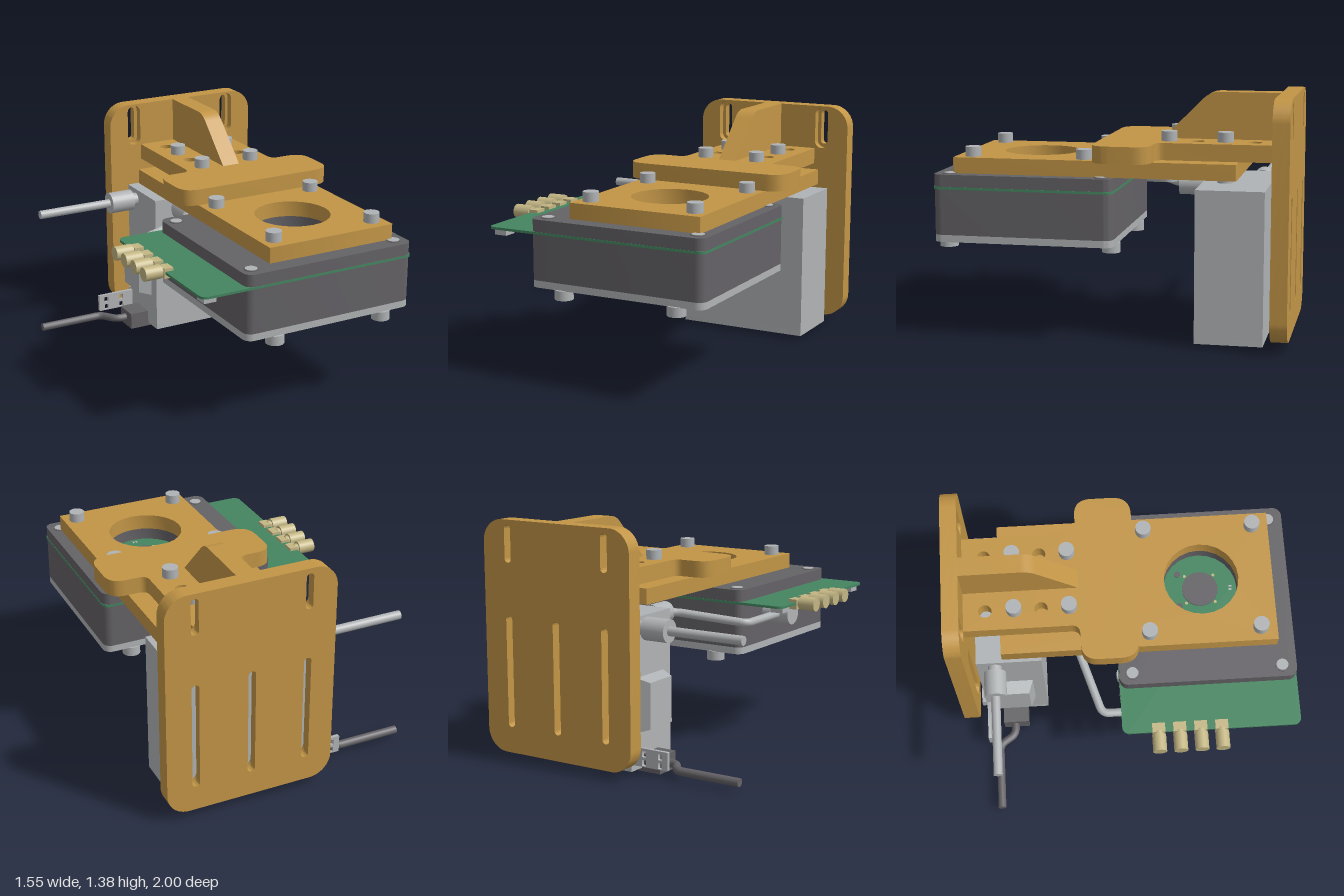
import * as THREE from 'three';
import { toCreasedNormals } from 'three/addons/utils/BufferGeometryUtils.js';

const mat = (name, color, extra = {}) => new THREE.MeshStandardMaterial({ name, color, ...extra });

export function createModel() {
  const model = new THREE.Group();
  const orange = mat('ochre bracket', 0xc29546);
  const dark = mat('dark grey housing', 0x646266);
  const silver = mat('silver metal', 0xb0b3b5, { side: THREE.DoubleSide });
  const green = mat('circuit green', 0x448560);
  const brass = mat('brass', 0xc3b684);

  // ---- helpers ----
  const add = (name, geo, material, x = 0, y = 0, z = 0) => {
    const m = new THREE.Mesh(geo, material);
    m.name = name;
    m.position.set(x, y, z);
    model.add(m);
    return m;
  };
  // box from min/max ranges
  const box = (name, material, x0, x1, y0, y1, z0, z1) =>
    add(name, new THREE.BoxGeometry(x1 - x0, y1 - y0, z1 - z0), material,
      (x0 + x1) / 2, (y0 + y1) / 2, (z0 + z1) / 2);
  // cylinder along the named axis, starting at x, y, z
  const cyl = (name, material, r, len, axis, x, y, z) => {
    const g = new THREE.CylinderGeometry(r, r, len, 24).translate(0, len / 2, 0);
    if (axis === 'x') g.rotateZ(-Math.PI / 2);
    if (axis === 'z') g.rotateX(Math.PI / 2);
    return add(name, g, material, x, y, z);
  };
  // rounded rectangle outline
  const rounded = (x0, x1, y0, y1, r, S = THREE.Shape) => {
    const s = new S();
    const q = Math.PI / 2;
    s.moveTo(x0 + r, y0);
    s.lineTo(x1 - r, y0);
    s.absarc(x1 - r, y0 + r, r, -q, 0);
    s.lineTo(x1, y1 - r);
    s.absarc(x1 - r, y1 - r, r, 0, q);
    s.lineTo(x0 + r, y1);
    s.absarc(x0 + r, y1 - r, r, q, 2 * q);
    s.lineTo(x0, y0 + r);
    s.absarc(x0 + r, y0 + r, r, 2 * q, 3 * q);
    return s;
  };
  const hole = (x, z, r) => {
    const p = new THREE.Path();
    p.absarc(x, -z, r, 0, Math.PI * 2);
    return p;
  };
  const extrude = (shape, depth) => toCreasedNormals(
    new THREE.ExtrudeGeometry(shape, { depth, bevelEnabled: false, curveSegments: 12 }), 0.5);
  // horizontal slab: outline drawn in x and -z, lifted from y0 to y1
  const slab = (name, material, shape, y0, y1) =>
    add(name, extrude(shape, y1 - y0).rotateX(-Math.PI / 2), material, 0, y0, 0);
  const tube = (name, material, pts, r) => {
    const path = new THREE.CurvePath();
    const v = pts.map(p => new THREE.Vector3(...p));
    let from = v[0];
    for (let i = 1; i < v.length; i++) {
      if (i === v.length - 1) { path.add(new THREE.LineCurve3(from, v[i])); break; }
      const a = v[i].clone().lerp(v[i - 1], 0.04 / v[i].distanceTo(v[i - 1]));
      const b = v[i].clone().lerp(v[i + 1], 0.04 / v[i].distanceTo(v[i + 1]));
      path.add(new THREE.LineCurve3(from, a));
      path.add(new THREE.QuadraticBezierCurve3(a, v[i], b));
      from = b;
    }
    add(name, new THREE.TubeGeometry(path, 80, r, 14), material);
  };

  // ---- wall plate: narrow slots at the back, wider recess in front ----
  const slots = [[-0.055, 1.14, 1.35], [0.605, 1.14, 1.35],
    [-0.055, 0.2, 0.84], [0.275, 0.2, 0.84], [0.605, 0.2, 0.84]];
  [[-1, 0.022, 0], [-0.953, 0.043, 0.021]].forEach(([z, hw, grow]) => {
    const s = rounded(-0.22, 0.775, 0.05, 1.38, 0.13);
    slots.forEach(([x, y0, y1]) =>
      s.holes.push(rounded(x - hw, x + hw, y0 - grow, y1 + grow, hw - 0.001, THREE.Path)));
    add('wallPlate', extrude(s, 0.0475), orange, 0, 0, z);
  });

  // ---- T-shaped arm ----
  const arm = new THREE.Shape();
  arm.moveTo(-0.01, 0.91);
  arm.lineTo(-0.01, 0.295);
  arm.quadraticCurveTo(-0.01, 0.245, -0.06, 0.245);
  arm.lineTo(-0.12, 0.245);
  arm.quadraticCurveTo(-0.22, 0.245, -0.22, 0.145);
  arm.lineTo(-0.22, 0.025);
  arm.quadraticCurveTo(-0.22, -0.085, -0.11, -0.085);
  arm.lineTo(0.665, -0.085);
  arm.quadraticCurveTo(0.775, -0.085, 0.775, 0.025);
  arm.lineTo(0.775, 0.145);
  arm.quadraticCurveTo(0.775, 0.245, 0.675, 0.245);
  arm.lineTo(0.61, 0.245);
  arm.quadraticCurveTo(0.56, 0.245, 0.56, 0.295);
  arm.lineTo(0.56, 0.91);
  for (const x of [0.105, 0.44]) for (const z of [-0.78, -0.46]) arm.holes.push(hole(x, z, 0.038));
  slab('bracketArm', orange, arm, 1.02, 1.115);

  // ---- stiffening rib (profile drawn in -z and y) ----
  const rib = new THREE.Shape();
  rib.moveTo(0.91, 1.11);
  rib.lineTo(0.91, 1.38);
  rib.lineTo(0.56, 1.38);
  rib.quadraticCurveTo(0.51, 1.38, 0.47, 1.34);
  rib.lineTo(0.245, 1.115);
  add('rib', extrude(rib, 0.11).rotateY(Math.PI / 2), orange, 0.22, 0, 0);

  // ---- carrier plate with round window ----
  const carrier = rounded(-0.125, 0.67, -0.885, 0.705, 0.004);
  carrier.holes.push(hole(0.272, 0.47, 0.217));
  slab('carrierPlate', orange, carrier, 0.93, 1.02);

  // ---- bolts ----
  for (const x of [-0.045, 0.592]) for (const z of [0.152, 0.79])
    cyl('carrierBolt', silver, 0.045, 0.055, 'y', x, 1.02, z);
  for (const x of [0.105, 0.44]) for (const z of [-0.3, -0.615]) {
    cyl('armBolt', silver, 0.045, 0.055, 'y', x, 1.115, z);
    cyl('armNut', silver, 0.045, 0.042, 'y', x, 0.888, z);
  }
  for (const x of [-0.125, 0.567]) for (const z of [0.95, 0.005])
    cyl('footBolt', silver, 0.052, 0.055, 'y', x, 0.497, z);

  // ---- camera housing ----
  const body = () => rounded(-0.32, 0.74, -0.985, 0.035, 0.05);
  const cover = body();
  cover.holes.push(hole(0.272, 0.47, 0.217));
  slab('housingCover', dark, cover, 0.86, 0.93);
  slab('housingBody', dark, body(), 0.59, 0.847);
  const base = body();
  base.holes.push(rounded(0.08, 0.6, -0.8, -0.14, 0.002, THREE.Path));
  slab('basePlate', silver, base, 0.55, 0.59);
  // sloped recess under the base
  const slope = new THREE.CylinderGeometry(0.5, Math.SQRT1_2, 0.038, 4, 1, true)
    .rotateY(Math.PI / 4).scale(0.52, 1, 0.66).toNonIndexed();
  slope.computeVertexNormals();
  add('baseRecess', slope, silver, 0.34, 0.569, 0.47);
  box('recessFloor', silver, 0.09, 0.59, 0.583, 0.589, 0.15, 0.79);
  for (const x of [-0.25, 0.667]) for (const z of [0.04, 0.902]) {
    cyl('coverScrewRing', dark, 0.042, 0.004, 'y', x, 0.929, z);
    cyl('coverScrew', silver, 0.034, 0.006, 'y', x, 0.929, z);
  }

  // ---- circuit board and sensor ----
  slab('circuitBoard', green, rounded(-0.59, 0.742, -0.987, 0.037, 0.04), 0.847, 0.861);
  cyl('sensor', dark, 0.106, 0.008, 'y', 0.272, 0.86, 0.47);
  for (const x of [0.172, 0.372]) cyl('sensorScrew', dark, 0.018, 0.006, 'y', x, 0.86, 0.343);
  for (const x of [0.187, 0.357]) for (const z of [0.385, 0.555])
    cyl('sensorPad', brass, 0.009, 0.004, 'y', x, 0.86, z);
  for (const x of [0.262, 0.282]) box('sensorChip', silver, x - 0.006, x + 0.006, 0.86, 0.864, 0.64, 0.658);
  for (const z of [0.06, 0.92]) box('boardClip', silver, -0.565, -0.49, 0.812, 0.848, z - 0.04, z + 0.04);

  // ---- coaxial connectors ----
  for (const z of [0.17, 0.29, 0.41, 0.53]) {
    cyl('coaxBarrel', brass, 0.04, 0.1, 'x', -0.705, 0.855, z);
    cyl('coaxCore', brass, 0.028, 0.03, 'x', -0.615, 0.855, z);
    box('coaxBody', brass, -0.595, -0.54, 0.82, 0.878, z - 0.037, z + 0.037);
  }

  // ---- power unit: box with a sunken board underneath ----
  box('powerUnit', silver, -0.125, 0.67, 0.055, 0.877, -0.86, -0.48);
  const rim = rounded(-0.125, 0.67, 0.48, 0.86, 0.002);
  rim.holes.push(rounded(-0.1, 0.645, 0.505, 0.835, 0.002, THREE.Path));
  slab('powerUnitRim', silver, rim, 0.02, 0.056);
  box('powerBoard', green, -0.06, 0.55, 0.04, 0.054, -0.815, -0.525);
  box('powerChip', dark, 0.15, 0.24, 0.032, 0.041, -0.72, -0.63);
  for (const x of [-0.08, 0.6]) for (const z of [-0.8, -0.54])
    cyl('powerScrew', silver, 0.024, 0.03, 'y', x, 0.026, z);

  // raised block on the side of the power unit
  const block = new THREE.BoxGeometry(0.075, 0.31, 0.26);
  const p = block.attributes.position;
  for (let i = 0; i < p.count; i++)
    if (p.getX(i) < 0) p.setXYZ(i, p.getX(i), p.getY(i) * 0.85, p.getZ(i) * 0.8);
  const blockFlat = block.toNonIndexed();
  blockFlat.computeVertexNormals();
  add('sideBlock', blockFlat, silver, -0.1625, 0.385, -0.68);

  // ---- cable bracket, plug and lower cable ----
  const tab = rounded(-0.36, -0.12, 0.06, 0.165, 0.004);
  for (const x of [-0.31, -0.205]) for (const y of [0.082, 0.132])
    tab.holes.push(rounded(x - 0.013, x + 0.013, y - 0.017, y + 0.017, 0.002, THREE.Path));
  add('cableBracket', extrude(tab, 0.02), silver, 0, 0, -0.855);
  box('bracketTab', silver, -0.125, -0.03, 0.1, 0.17, -0.887, -0.855);
  box('plug', dark, -0.245, -0.1, 0, 0.1, -0.76, -0.605);
  tube('lowerCable', dark, [[-0.775, 0.052, -0.79], [-0.375, 0.052, -0.79],
    [-0.31, 0.052, -0.69], [-0.23, 0.052, -0.69]], 0.024);
  cyl('lowerCableEnd', dark, 0.024, 0.004, 'x', -0.777, 0.052, -0.79);

  // ---- upper cable ----
  cyl('upperCable', silver, 0.026, 0.48, 'x', -0.775, 0.812, -0.755);
  cyl('upperCableGland', silver, 0.065, 0.15, 'x', -0.31, 0.812, -0.755);
  cyl('upperCableNeck', silver, 0.04, 0.05, 'x', -0.17, 0.812, -0.755);

  // ---- link cable from the housing to the power unit ----
  cyl('housingGland', silver, 0.065, 0.145, 'x', -0.505, 0.77, 0.25);
  cyl('housingGlandNeck', silver, 0.04, 0.06, 'x', -0.37, 0.77, 0.25);
  tube('linkCable', silver, [[-0.43, 0.768, 0.25], [-0.43, 0.768, -0.145],
    [-0.03, 0.812, -0.27], [0.03, 0.812, -0.34]], 0.024);
  cyl('powerGland', silver, 0.063, 0.145, 'z', 0.03, 0.812, -0.44);
  cyl('powerGlandNeck', silver, 0.045, 0.05, 'z', 0.03, 0.812, -0.485);

  return model;
}
